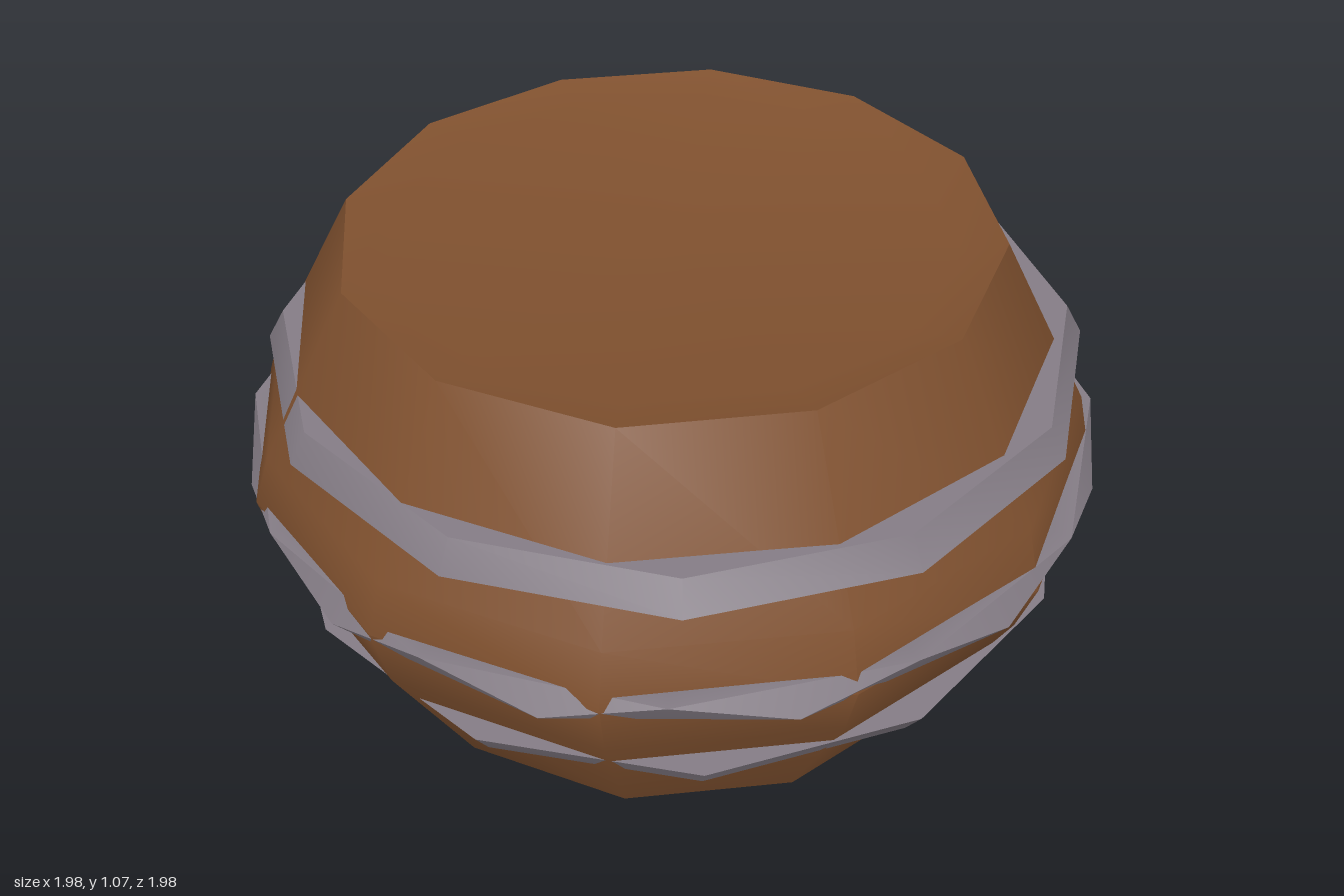
import * as THREE from 'three';
import { toCreasedNormals } from 'three/addons/utils/BufferGeometryUtils.js';

const SIDES = 12;

// Closed ring with sloping outer face; the top edge may be twisted against the bottom one
function bandGeometry(y0, y1, r0, r1, phase, twist) {
  const section = [[r0 - 0.07, y0], [r0, y0], [r1, y1], [r1 - 0.07, y1], [r0 - 0.07, y0]];
  const geo = new THREE.LatheGeometry(section.map(([r, y]) => new THREE.Vector2(r, y)), SIDES);
  const pos = geo.attributes.position;
  const v = new THREE.Vector3();
  const up = new THREE.Vector3(0, 1, 0);
  for (let i = 0; i < pos.count; i++) {
    v.fromBufferAttribute(pos, i);
    v.applyAxisAngle(up, phase + (v.y > (y0 + y1) / 2 ? twist : 0));
    pos.setXYZ(i, v.x, v.y, v.z);
  }
  return toCreasedNormals(geo, 0.7);
}

export function createModel() {
  const model = new THREE.Group();
  model.name = 'barrel';
  const wood = new THREE.MeshStandardMaterial({ color: 0x80512f });
  wood.name = 'brown wood';
  const metal = new THREE.MeshStandardMaterial({ color: 0x857d86 });
  metal.name = 'grey metal';

  // Bulging body with a shallow sunken lid
  const profile = [
    [0, 0], [0.74, 0], [0.95, 0.4], [0.99, 0.54], [0.95, 0.68],
    [0.74, 1.068], [0.64, 1.045], [0, 1.045],
  ].map(([r, y]) => new THREE.Vector2(r, y));
  const bodyGeo = new THREE.LatheGeometry(profile, SIDES);
  const pos = bodyGeo.attributes.position;
  for (let i = 0; i < pos.count; i++) {
    const x = pos.getX(i), y = pos.getY(i), z = pos.getZ(i);
    // Hand-made unevenness of the widest ring and the rim
    if (Math.abs(y - 0.54) < 0.01) pos.setY(i, y - 0.03 * x);
    if (y > 1.06) pos.setY(i, y + 0.008 * x + 0.003 * Math.sin(9 * z));
  }
  const body = new THREE.Mesh(toCreasedNormals(bodyGeo, 0.7), wood);
  body.name = 'body';
  model.add(body);

  // Three loose hoops, set slightly off centre
  const hoops = [
    ['lowerBand', 0.25, 0.32, 0.895, 0.94, 0.2, 0],
    ['middleBand', 0.52, 0.585, 0.995, 0.995, -0.13, 0.26],
    ['upperBand', 0.765, 0.835, 0.94, 0.9, 0.15, 0],
  ];
  for (const [name, ...size] of hoops) {
    const band = new THREE.Mesh(bandGeometry(...size), metal);
    band.name = name;
    band.position.set(name === 'middleBand' ? 0.003 : 0.012, 0, 0.004);
    model.add(band);
  }
  return model;
}
